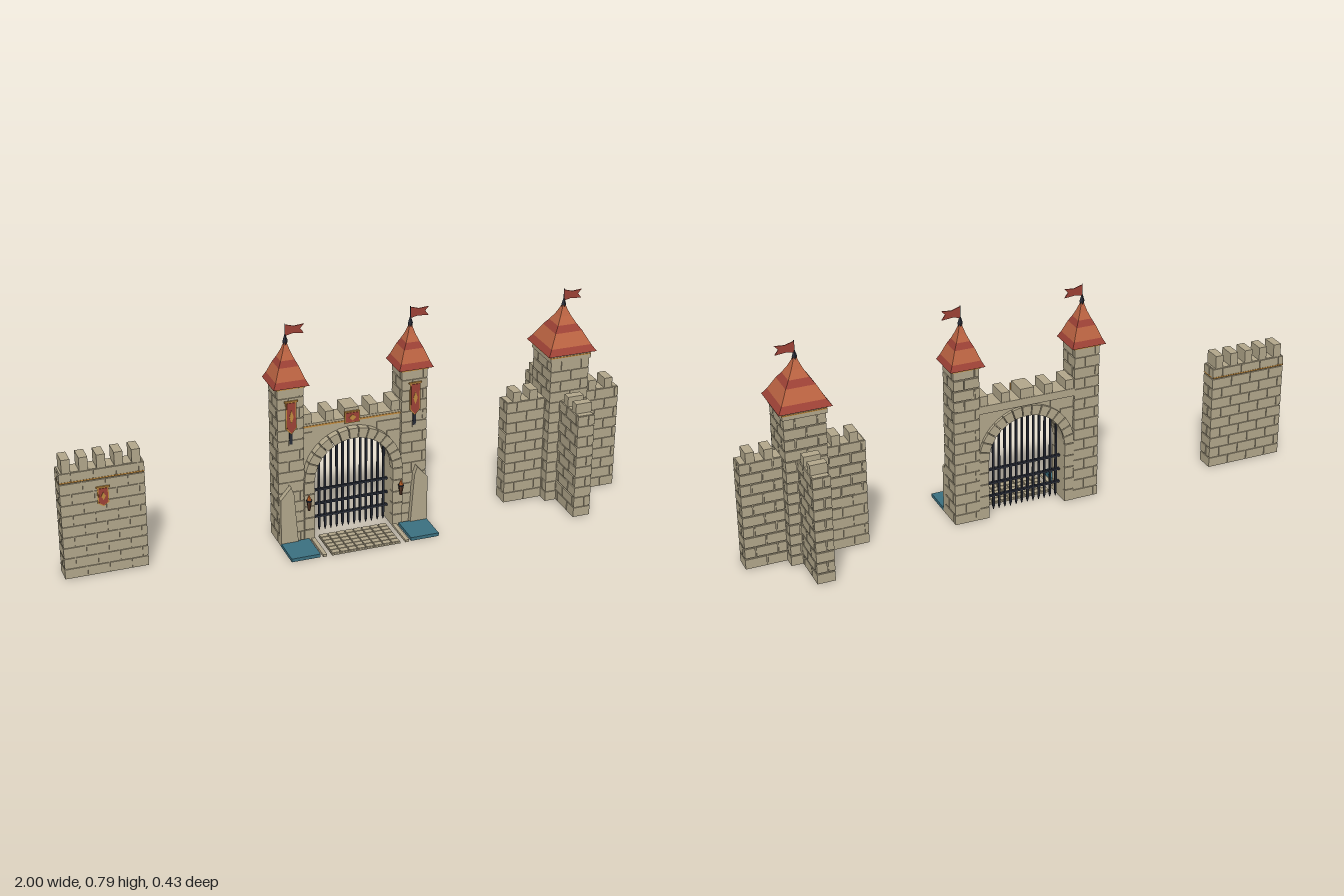
import * as THREE from 'three';
import { mergeGeometries } from 'three/addons/utils/BufferGeometryUtils.js';

const mat = (name, color) => {
  const m = new THREE.MeshStandardMaterial({ color });
  m.name = name;
  return m;
};

// Box from its centre in x and z, and its lowest y
const box = (x, y, z, w, h, d) => new THREE.BoxGeometry(w, h, d).translate(x, y + h / 2, z);
const rod = (x, y, z, r0, r1, h, sides = 6) =>
  new THREE.CylinderGeometry(r1, r0, h, sides).translate(x, y + h / 2, z);
const plate = (pts, z, depth, holes = []) => {
  const s = new THREE.Shape(pts.map(p => new THREE.Vector2(...p)));
  s.holes.push(...holes);
  return new THREE.ExtrudeGeometry(s, { depth, bevelEnabled: false, curveSegments: 20 }).translate(0, 0, z);
};

// Merges pieces into one faceted mesh
function add(parent, name, material, geos) {
  const g = mergeGeometries(geos.map(o => {
    const n = o.index ? o.toNonIndexed() : o;
    n.deleteAttribute('uv');
    n.computeVertexNormals();
    return n;
  }));
  const mesh = new THREE.Mesh(g, material);
  mesh.name = name;
  parent.add(mesh);
}

const T = 0.004, COURSE = 0.0385, BRICK = 0.075, GAP = 0.0045;

// Raised bricks in running bond on a plane facing +z
function brickFace(w, h, y0 = 0, keep = () => true) {
  const out = [], rows = Math.max(1, Math.round(h / COURSE)), rh = h / rows;
  for (let r = 0; r < rows; r++) {
    let a = -w / 2, b = a + (r % 2 ? BRICK / 2 : BRICK);
    while (a < w / 2 - 0.001) {
      if (w / 2 - b < 0.015) b = w / 2;
      const y = y0 + r * rh;
      if (keep(a, b, y, y + rh)) {
        const l = a > -w / 2 ? GAP / 2 : 0, e = b < w / 2 ? GAP / 2 : 0;
        out.push(box((a + l + b - e) / 2, y + GAP / 2, -T / 2, b - a - l - e, rh - GAP, T));
      }
      a = b;
      b = a + BRICK;
    }
  }
  return out;
}

// Solid core with bricks on all four sides
function brickBox(x, z, w, d, h) {
  const out = [box(x, 0, z, w - 2 * T, h, d - 2 * T)];
  for (let i = 0; i < 4; i++) {
    const [fw, fd] = i % 2 ? [d, w] : [w, d];
    for (const g of brickFace(fw, h))
      out.push(g.translate(0, 0, fd / 2).rotateY(i * Math.PI / 2).translate(x, 0, z));
  }
  return out;
}

export function createModel() {
  const stone = mat('stone', 0xb2a78b), tile = mat('orange roof tile', 0xbc6442);
  const red = mat('dark red', 0x9e4236), iron = mat('dark iron', 0x272b36);
  const gold = mat('gold', 0xc28c40), teal = mat('moat water', 0x3b7080);
  const wood = mat('torch wood', 0x5c3a28), flame = mat('flame', 0xd9702e);
  const model = new THREE.Group();
  const group = name => {
    const g = new THREE.Group();
    g.name = name;
    model.add(g);
    return g;
  };

  // Flared pyramid roof with alternating bands, spike and swallowtail flag
  function roof(parent, x, y, half, k, flagY) {
    const prof = [[0, 1], [0.022, 0.83], [0.067, 0.56], [0.089, 0.39], [0.115, 0.22], [0.137, 0.11], [0.152, 0.05]];
    const band = i => {
      const [h0, r0] = prof[i], [h1, r1] = prof[i + 1], s = half * Math.SQRT2;
      return new THREE.CylinderGeometry(r1 * s, r0 * s, (h1 - h0) * k, 4, 1, i > 0)
        .rotateY(Math.PI / 4).translate(x, y + (h0 + h1) / 2 * k, 0);
    };
    add(parent, 'darkRoofBands', red, [band(0), band(2)]);
    add(parent, 'orangeRoofBands', tile, [1, 3, 4, 5].map(band));
    const tip = y + 0.14 * k;
    add(parent, 'spikeAndPole', iron, [
      rod(x, tip, 0, 0.007, 0.009, 0.012, 4), rod(x, tip + 0.012, 0, 0.009, 0.002, 0.022, 4),
      rod(x, tip, 0, 0.002, 0.0015, flagY + 0.023 - tip)]);
    add(parent, 'flag', red, [plate([[x, flagY - 0.02], [x + 0.025, flagY - 0.014], [x + 0.065, flagY - 0.018],
      [x + 0.052, flagY], [x + 0.065, flagY + 0.014], [x + 0.03, flagY + 0.011], [x, flagY + 0.02]], -0.0015, 0.003)]);
  }

  // Hanging banner with gold border and diamond
  function banner(parent, x, top, w, h, z) {
    const outline = i => [[x - w / 2 + i, top - i], [x - w / 2 + i, top - h * 0.82 + i * 0.6], [x, top - h + i * 1.3],
      [x + w / 2 - i, top - h * 0.82 + i * 0.6], [x + w / 2 - i, top - i]];
    const my = top - h * 0.45;
    add(parent, 'bannerTrim', gold, [plate(outline(0), z, 0.003), box(x, top - 0.002, z + 0.003, w + 0.008, 0.005, 0.006),
      plate([[x - w * 0.2, my], [x, my - h * 0.2], [x + w * 0.2, my], [x, my + h * 0.2]], z + 0.005, 0.002)]);
    add(parent, 'bannerCloth', red, [plate(outline(0.004), z + 0.002, 0.0035)]);
  }

  // Free-standing wall section
  const wall = group('wallSection'), wx = -0.8585;
  const wallStone = brickBox(wx, -0.002, 0.283, 0.064, 0.388);
  for (let i = -2; i <= 2; i++) wallStone.push(box(wx + i * 0.058, 0.388, -0.002, 0.029, 0.047, 0.06));
  add(wall, 'wallStones', stone, wallStone);
  add(wall, 'wallTrim', gold, [box(wx, 0.351, -0.002, 0.283, 0.005, 0.066)]);
  banner(wall, wx, 0.32, 0.038, 0.07, 0.03);

  // Square tower with four crenellated wings
  const keep = group('crossTower'), kx = 0.785;
  const keepStone = [...brickBox(kx, 0, 0.143, 0.143, 0.537), box(kx, 0.535, 0, 0.151, 0.014, 0.151),
    box(kx, 0.552, 0, 0.148, 0.012, 0.148), ...brickBox(kx, 0, 0.428, 0.062, 0.387), ...brickBox(kx, 0, 0.062, 0.428, 0.387)];
  for (const s of [-1, 1]) for (const r of [0.113, 0.175])
    keepStone.push(box(kx + s * r, 0.387, 0, 0.03, 0.036, 0.058), box(kx, 0.387, s * r, 0.058, 0.036, 0.03));
  add(keep, 'towerStones', stone, keepStone);
  add(keep, 'towerTrim', gold, [box(kx, 0.549, 0, 0.152, 0.004, 0.152)]);
  roof(keep, kx, 0.563, 0.09, 1, 0.748);

  // Gatehouse towers with banners, arrow slits, torches and buttresses
  const gate = group('gatehouse');
  for (const s of [-1, 1]) {
    const tower = new THREE.Group(), x = s * 0.22;
    tower.name = s > 0 ? 'leftGateTower' : 'rightGateTower';
    gate.add(tower);
    const pts = [[0.265, 0], [0.265, 0.176], [0.227, 0.22], [0.217, 0.19], [0.203, 0]].map(([a, b]) => [s * a, b]);
    add(tower, 'towerStones', stone, [...brickBox(x, 0, 0.092, 0.092, 0.58), plate(pts, 0.04, 0.026)]);
    add(tower, 'towerTrim', gold, [box(x, 0.573, 0, 0.099, 0.008, 0.099)]);
    add(tower, 'arrowSlit', iron, [box(x, 0.372, 0.045, 0.011, 0.12, 0.006)]);
    banner(tower, x, 0.53, 0.038, 0.12, 0.05);
    roof(tower, x, 0.582, 0.062, 0.95, 0.764);
    const tx = s * 0.166, tz = 0.07;
    add(tower, 'torchBracket', iron, [box(tx, 0.142, 0.056, 0.006, 0.006, 0.03), rod(tx, 0.158, tz, 0.009, 0.011, 0.006)]);
    add(tower, 'torchHandle', wood, [rod(tx, 0.125, tz, 0.004, 0.009, 0.034)]);
    add(tower, 'torchFlame', flame, [rod(tx, 0.164, tz, 0.008, 0.001, 0.02)]);
    add(tower, 'moat', teal, [box(s * 0.214, 0, 0.117, 0.102, 0.012, 0.116)]);
  }

  // Curtain wall with arched opening
  const R = 0.142, RO = 0.176, cy = 0.222;
  const pts = [[-0.18, 0], [-R, 0], [-R, cy]];
  for (let i = 1; i < 20; i++) {
    const a = Math.PI * (1 - i / 20);
    pts.push([R * Math.cos(a), cy + R * Math.sin(a)]);
  }
  pts.push([R, cy], [R, 0], [0.18, 0], [0.18, 0.415], [-0.18, 0.415]);
  const outsideArch = (a, b, y0) =>
    y0 >= cy && Math.hypot(a <= 0 && b >= 0 ? 0 : Math.min(Math.abs(a), Math.abs(b)), y0 - cy) > RO - 0.02;
  const gateStone = [plate(pts, -0.034, 0.064), box(0, 0.402, -0.006, 0.352, 0.028, 0.08)];
  for (const g of brickFace(0.35, 0.4, 0, outsideArch))
    gateStone.push(g.clone().translate(0, 0, 0.034), g.rotateY(Math.PI).translate(0, 0, -0.038));
  for (let i = -2; i <= 2; i++)
    gateStone.push(box(i * 0.0785, 0.43, -0.006, i ? 0.03 : 0.05, 0.035, 0.076));
  add(gate, 'curtainWall', stone, gateStone);

  // Arch blocks and jambs on both faces
  const arch = [], N = 15;
  for (const [z, d] of [[0.029, 0.027], [-0.045, 0.012]]) {
    for (let i = 0; i < N; i++) {
      const a = Math.PI * i / N + 0.01, b = Math.PI * (i + 1) / N - 0.01, m = (a + b) / 2;
      const p = (r, t) => [r * Math.cos(t), cy + r * Math.sin(t)];
      arch.push(plate([p(R - 0.002, a), p(RO, a), p(RO, m), p(RO, b), p(R - 0.002, b), p(R - 0.002, m)], z, d));
    }
    for (const s of [-1, 1]) for (let j = 0; j < 5; j++)
      arch.push(box(s * (R + RO) / 2, j * cy / 5 + 0.001, z + d / 2, RO - R + 0.002, cy / 5 - 0.003, d));
  }
  add(gate, 'archBlocks', stone, arch);

  // Ledge trim and plaque above the arch
  add(gate, 'ledgeTrim', gold, [box(0, 0.417, 0.033, 0.352, 0.006, 0.006), box(0, 0.412, 0.035, 0.054, 0.042, 0.008),
    plate([[-0.012, 0.433], [0, 0.422], [0.012, 0.433], [0, 0.444]], 0.04, 0.003)]);
  add(gate, 'plaque', red, [box(0, 0.416, 0.038, 0.046, 0.034, 0.006)]);

  // Portcullis
  const bars = [];
  for (let i = -6; i <= 6; i++) {
    const x = i * 0.0213, top = cy + Math.sqrt(R * R - x * x);
    bars.push(box(x, 0.018, 0, 0.007, top - 0.018, 0.007), rod(x, 0.004, 0, 0.001, 0.005, 0.014, 4));
  }
  for (const y of [0.056, 0.105, 0.158]) bars.push(box(0, y, 0, 2 * R, 0.007, 0.01));
  add(gate, 'portcullis', iron, bars);

  // Paved bridge with kerbs
  const paving = [box(0, 0, 0.108, 0.246, 0.005, 0.14)];
  for (let r = 0; r < 6; r++) for (let c = 0; c < 8; c++)
    paving.push(box(-0.1075 + c * 0.0307, 0.004, 0.05 + r * 0.0233, 0.027, 0.005, 0.02));
  for (const s of [-1, 1]) paving.push(box(s * 0.148, 0, 0.115, 0.014, 0.009, 0.126));
  add(gate, 'bridge', stone, paving);

  return model;
}
